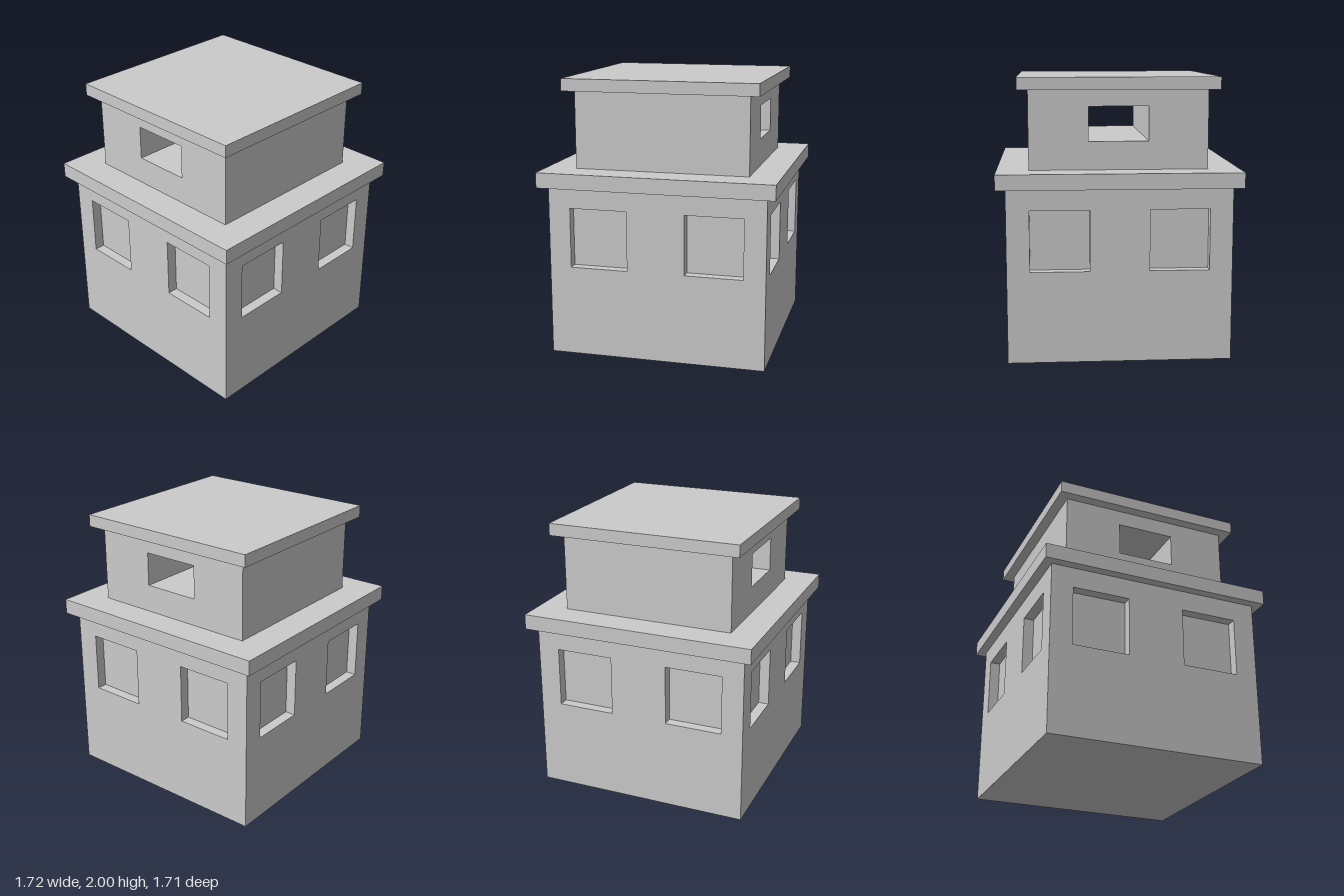
import * as THREE from 'three';
import { mergeGeometries } from 'three/addons/utils/BufferGeometryUtils.js';

const material = new THREE.MeshStandardMaterial({ color: 0xcccccc, flatShading: true });
const RECESS = 0.075;
const windowHole = { w: 0.42, h: 0.435, x: 0.42, y: 0.872 };

function rect(Type, x0, y0, x1, y1) {
  const r = new Type();
  r.moveTo(x0, y0);
  r.lineTo(x1, y0);
  r.lineTo(x1, y1);
  r.lineTo(x0, y1);
  r.closePath();
  return r;
}

function addMesh(group, name, geometry) {
  const mesh = new THREE.Mesh(geometry, material);
  mesh.name = name;
  group.add(mesh);
  return mesh;
}

function slab(group, name, w, d, y0, y1) {
  const mesh = addMesh(group, name, new THREE.BoxGeometry(w, y1 - y0, d));
  mesh.position.y = (y0 + y1) / 2;
  return mesh;
}

// Inward-facing box without its front: the sides and back of a window recess
function pocket(w, h, depth) {
  const g = new THREE.BoxGeometry(w, h, depth);
  const index = Array.from(g.index.array);
  index.splice(24, 6);
  g.setIndex(index);
  g.clearGroups();
  g.scale(-1, 1, 1);
  g.computeVertexNormals();
  return g;
}

// Wall facing +z with two recessed windows
function wall(width, height) {
  const { w, h, x, y } = windowHole;
  const face = rect(THREE.Shape, -width / 2, 0, width / 2, height);
  const parts = [];
  for (const s of [-1, 1]) {
    face.holes.push(rect(THREE.Path, s * x - w / 2, y - h / 2, s * x + w / 2, y + h / 2));
    parts.push(pocket(w, h, RECESS).translate(s * x, y, -RECESS / 2));
  }
  parts.push(new THREE.ShapeGeometry(face));
  return mergeGeometries(parts);
}

export function createModel() {
  const model = new THREE.Group();
  model.name = 'watchtower';

  // Lower storey: four windowed walls and a floor
  const W = 1.584, D = 1.576, H = 1.24;
  const lower = new THREE.Group();
  lower.name = 'lowerStorey';
  model.add(lower);
  ['frontWall', 'leftWall', 'backWall', 'rightWall'].forEach((name, i) => {
    const side = i % 2 === 1;
    const g = wall(side ? D : W, H);
    g.translate(0, 0, (side ? W : D) / 2);
    addMesh(lower, name, g).rotation.y = i * Math.PI / 2;
  });
  addMesh(lower, 'floor', new THREE.PlaneGeometry(W, D).rotateX(Math.PI / 2));

  // Overhanging ledge between storeys
  slab(model, 'ledge', 1.718, 1.708, H, 1.35);

  // Upper storey with a lookout opening running front to back
  const U = 1.266;
  const block = rect(THREE.Shape, -U / 2, 1.35, U / 2, 1.912);
  block.holes.push(rect(THREE.Path, -0.212, 1.55, 0.212, 1.795));
  const upper = new THREE.ExtrudeGeometry(block, { depth: U, bevelEnabled: false });
  addMesh(model, 'upperStorey', upper.translate(0, 0, -U / 2));

  // Flat roof
  slab(model, 'roof', 1.413, 1.413, 1.912, 2);

  return model;
}
